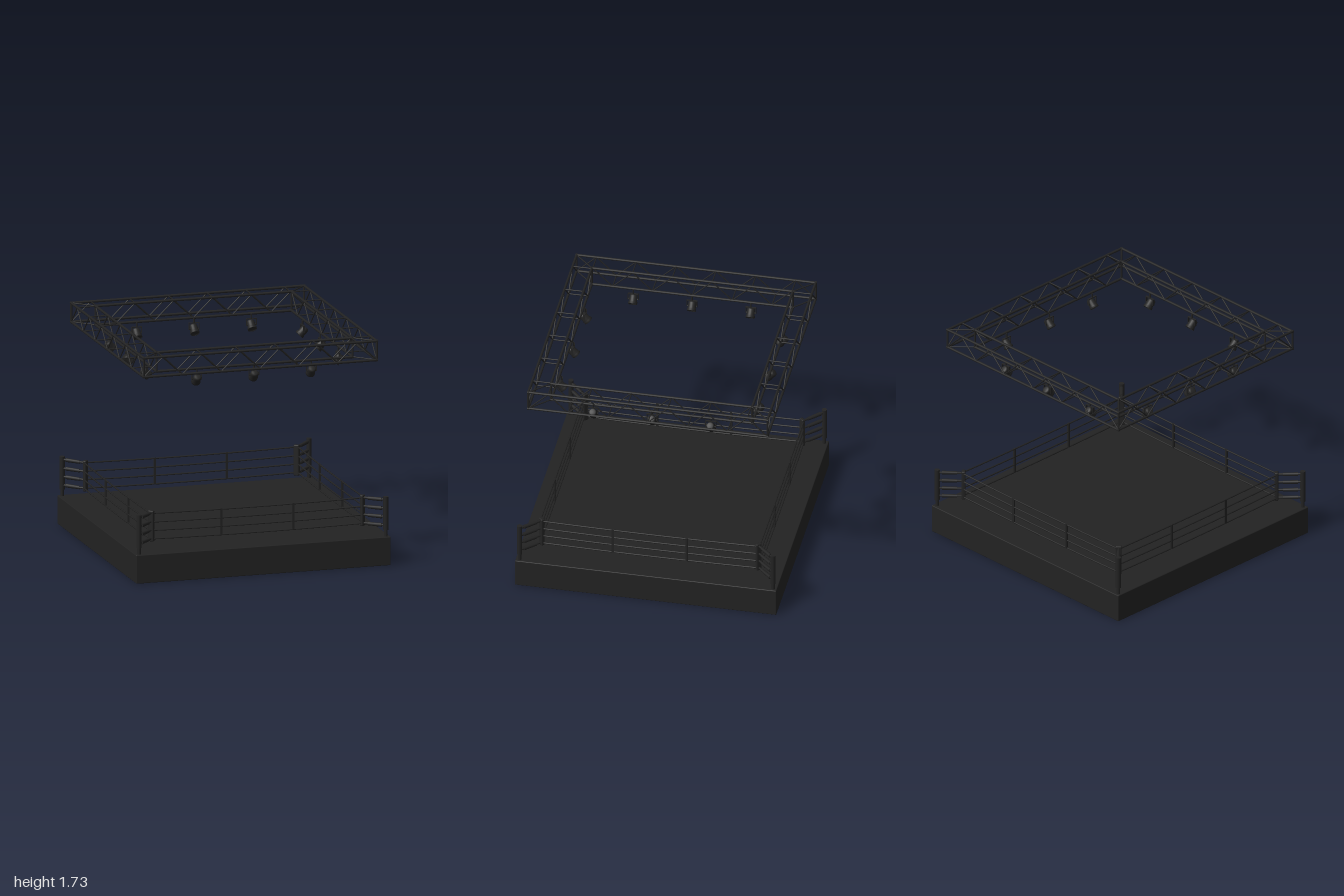
import * as THREE from 'three';
import { RoundedBoxGeometry } from 'three/addons/geometries/RoundedBoxGeometry.js';

const dark = new THREE.MeshStandardMaterial({ color: 0x222222 });
const V = (x, y, z) => new THREE.Vector3(x, y, z);

function part(parent, name, geometry, x = 0, y = 0, z = 0) {
  const mesh = new THREE.Mesh(geometry, dark);
  mesh.name = name;
  mesh.position.set(x, y, z);
  parent.add(mesh);
  return mesh;
}

// Straight round bar between two points
function bar(parent, name, a, b, r, r2 = r, sides = 10) {
  const mesh = part(parent, name, new THREE.CylinderGeometry(r2, r, a.distanceTo(b), sides));
  mesh.position.copy(a).add(b).multiplyScalar(0.5);
  mesh.quaternion.setFromUnitVectors(V(0, 1, 0), b.clone().sub(a).normalize());
  return mesh;
}

function group(parent, name, turn = 0) {
  const g = new THREE.Group();
  g.name = name;
  g.rotation.y = turn * Math.PI / 2;
  parent.add(g);
  return g;
}

const ropeHeights = [0.3, 0.365, 0.43, 0.497];

// Post, four turnbuckles and the inner pad of one corner
function buildCorner(g) {
  const p = 0.97, q = 0.83;
  bar(g, 'postFoot', V(p, 0.21, p), V(p, 0.28, p), 0.014, 0.014, 16);
  bar(g, 'post', V(p, 0.27, p), V(p, 0.525, p), 0.02, 0.02, 16);
  ropeHeights.forEach(y => {
    bar(g, 'turnbuckleSleeve', V(0.945, y + 0.003, 0.945), V(0.865, y, 0.865), 0.015, 0.013, 12);
    bar(g, 'turnbuckleRod', V(p, y + 0.004, p), V(q, y, q), 0.009);
  });
  const pad = part(g, 'cornerPad', new RoundedBoxGeometry(0.046, 0.238, 0.028, 2, 0.008), q, 0.398, q);
  pad.rotation.y = Math.PI / 4;
}

// Four gently sagging ropes tied by two straps
function buildRopes(g) {
  const z = 0.84;
  ropeHeights.forEach(y => {
    const curve = new THREE.QuadraticBezierCurve3(V(-0.825, y, z), V(0, y - 0.016, z), V(0.825, y, z));
    part(g, 'rope', new THREE.TubeGeometry(curve, 20, 0.006, 8));
  });
  for (const x of [-0.283, 0.283]) part(g, 'ropeStrap', new THREE.BoxGeometry(0.018, 0.205, 0.014), x, 0.393, z);
}

const LOW = 1.572, HIGH = 1.718, OUT = 0.915, IN = 0.77, STEP = 0.1525;

// One side of the square box truss
function buildTruss(g) {
  for (const z of [OUT, IN]) {
    for (const y of [LOW, HIGH]) bar(g, 'chord', V(-z - 0.008, y, z), V(z + 0.008, y, z), 0.01);
    bar(g, 'trussUpright', V(z, LOW, z), V(z, HIGH, z), 0.008);
    const n = z === OUT ? 6 : 5;
    for (let i = -n; i < n; i++) {
      const node = k => V(k * STEP, k % 2 ? HIGH : LOW, z);
      bar(g, 'diagonalBrace', node(i), node(i + 1), 0.005, 0.005, 8);
    }
  }
  for (let i = -5; i <= 5; i++) {
    const y = i % 2 ? HIGH : LOW;
    bar(g, 'crossBrace', V(i * STEP, y, IN), V(i * STEP, y, OUT), 0.005, 0.005, 8);
  }
  for (const y of [LOW, HIGH]) bar(g, 'cornerBrace', V(IN, y, IN), V(OUT, y, OUT), 0.005, 0.005, 8);
}

// Spotlight on a U-shaped yoke, aimed inward and down
function buildLight(parent, x) {
  const light = group(parent, 'spotlight');
  light.position.set(x, 0, 0.757);
  bar(light, 'hanger', V(0, 1.532, 0), V(0, LOW, 0), 0.006);
  part(light, 'yokeBridge', new THREE.BoxGeometry(0.08, 0.006, 0.014), 0, 1.535, 0);
  for (const s of [-1, 1]) part(light, 'yokeArm', new THREE.BoxGeometry(0.005, 0.055, 0.014), s * 0.0385, 1.51, 0);
  bar(light, 'yokePivot', V(-0.041, 1.488, 0), V(0.041, 1.488, 0), 0.006);
  const profile = [[0, 0.038], [0.02, 0.038], [0.028, 0.032], [0.031, 0.022], [0.031, -0.018],
    [0.035, -0.02], [0.035, -0.038], [0.03, -0.038], [0.029, -0.03], [0, -0.028]]
    .reverse().map(([r, y]) => new THREE.Vector2(r, y));
  const lamp = part(light, 'lampHousing', new THREE.LatheGeometry(profile, 20), 0, 1.486, 0);
  lamp.rotation.x = Math.PI / 4;
}

export function createModel() {
  const model = new THREE.Group();
  model.name = 'fightingRing';

  // Platform
  part(model, 'platform', new RoundedBoxGeometry(2, 0.22, 2, 2, 0.006), 0, 0.11, 0);

  // Four identical sides
  for (let i = 0; i < 4; i++) {
    buildCorner(group(model, 'corner', i));
    buildRopes(group(model, 'ropeSide', i));
    buildTruss(group(model, 'trussSide', i));
    const lights = group(model, 'lightRow', i);
    for (const x of [-0.45, 0, 0.45]) buildLight(lights, x);
  }
  return model;
}
